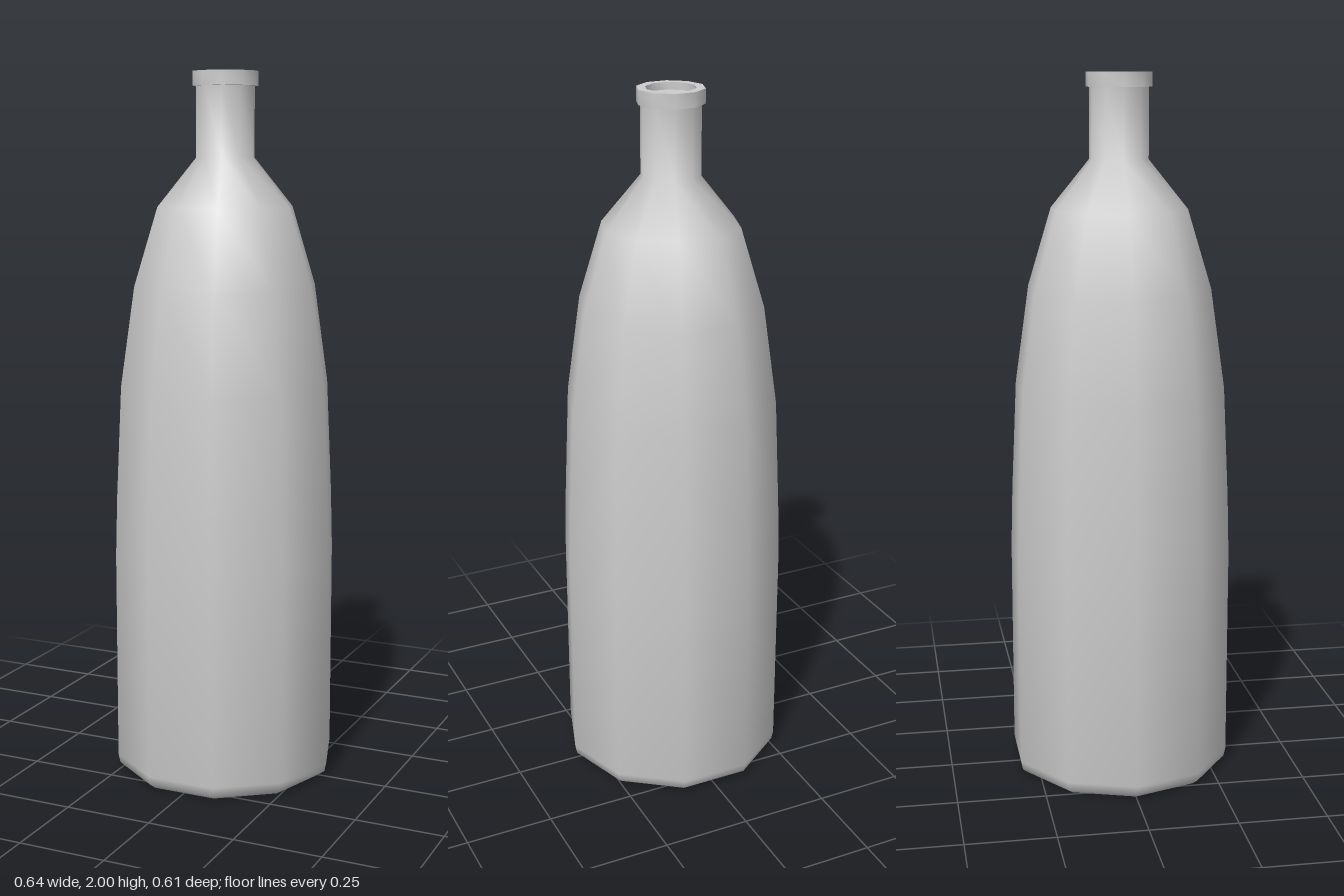
import * as THREE from 'three';
import { toCreasedNormals } from 'three/addons/utils/BufferGeometryUtils.js';

const SIDES = 10;

// Ten-sided turned part, smooth except at sharp rims
function turned(name, profile, material) {
  const points = profile.map(([r, y]) => new THREE.Vector2(r, y));
  const geometry = new THREE.LatheGeometry(points, SIDES, Math.PI / 2);
  const mesh = new THREE.Mesh(toCreasedNormals(geometry, 1.1), material);
  mesh.name = name;
  return mesh;
}

export function createModel() {
  const group = new THREE.Group();
  group.name = 'bottle';
  const glass = new THREE.MeshStandardMaterial({ color: 0xcccccc });

  // Base, tapering body, shoulder and neck
  group.add(turned('body', [
    [0, 0.01], [0.1, 0.005], [0.295, 0], [0.315, 0.015], [0.32, 0.04],
    [0.32, 0.64], [0.315, 0.81], [0.3, 1.13], [0.26, 1.41],
    [0.193, 1.63], [0.083, 1.765], [0.083, 1.96],
  ], glass));

  // Lip around the mouth, with a shallow recessed stopper
  group.add(turned('lip', [
    [0.083, 1.96], [0.093, 1.96], [0.093, 2], [0.069, 2], [0.069, 1.98], [0, 1.98],
  ], glass));

  return group;
}
